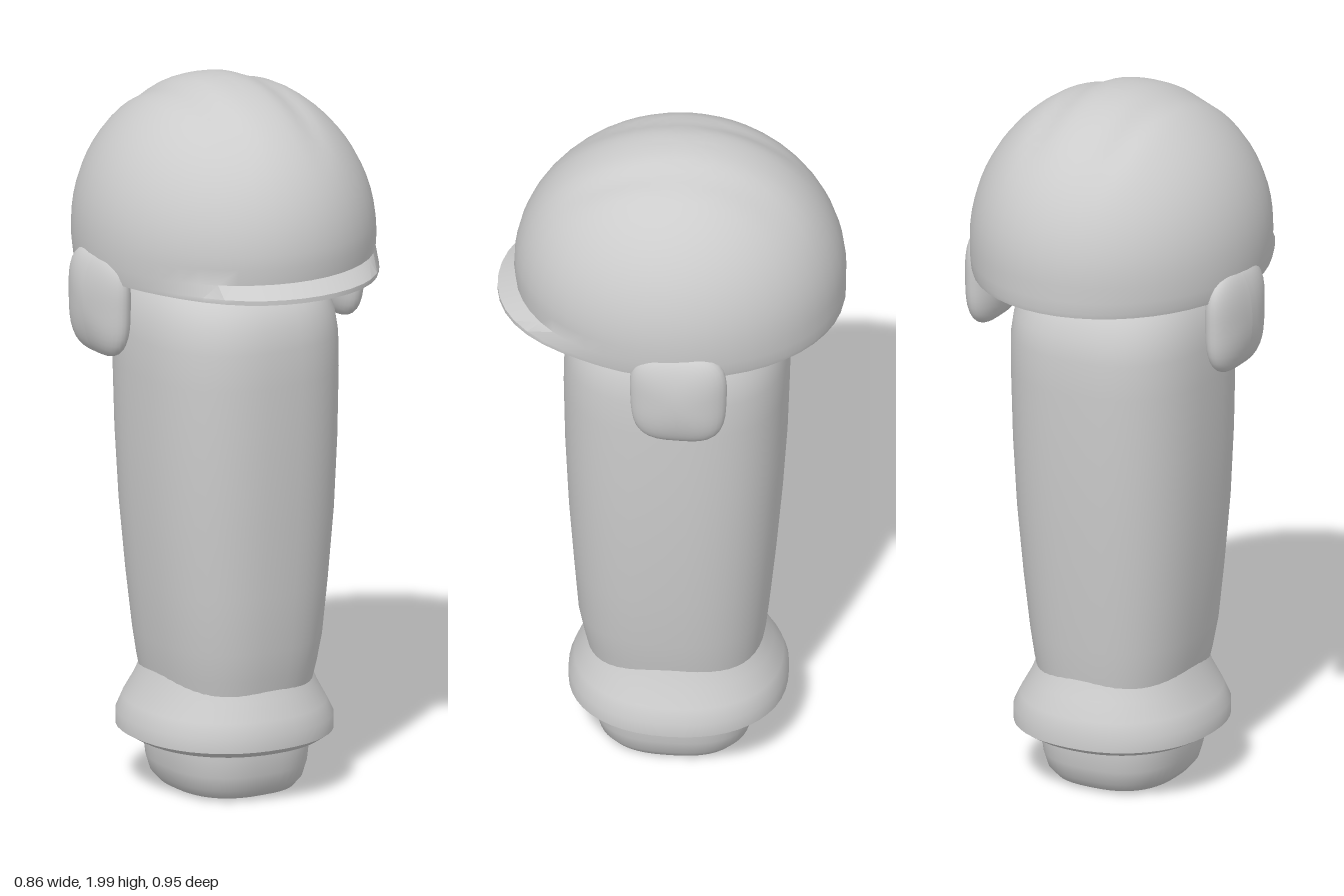
import * as THREE from 'three';
import { toCreasedNormals } from 'three/addons/utils/BufferGeometryUtils.js';

const grey = new THREE.MeshStandardMaterial({ color: 0xcccccc });
grey.name = 'plain grey';

const SIDES = 48;

// Surface through rings [y, halfWidth, frontZ, backZ], listed from the lower axis outwards and up.
// power > 2 squares the section off; warp may move each point.
function loft(name, rings, { power = 2, warp = null, crease = 0.8 } = {}) {
  const pos = [], index = [];
  const rounded = (c) => Math.sign(c) * Math.pow(Math.abs(c), 2 / power);
  rings.forEach(([y, rx, zf, zb], r) => {
    for (let i = 0; i < SIDES; i++) {
      const a = (i / SIDES) * Math.PI * 2;
      const p = new THREE.Vector3(
        rx * rounded(Math.cos(a)), y,
        (zf + zb) / 2 + ((zf - zb) / 2) * rounded(Math.sin(a)));
      if (warp) warp(p, a, r);
      pos.push(p.x, p.y, p.z);
      if (r < rings.length - 1) {
        const n = (i + 1) % SIDES, A = r * SIDES, B = A + SIDES;
        index.push(A + i, B + i, A + n, B + i, B + n, A + n);
      }
    }
  });
  const geo = new THREE.BufferGeometry();
  geo.setAttribute('position', new THREE.Float32BufferAttribute(pos, 3));
  geo.setIndex(index);
  const mesh = new THREE.Mesh(toCreasedNormals(geo, crease), grey);
  mesh.name = name;
  return mesh;
}

// Hollow cap: inner shell downwards, rim, front brim, then outer shell up to the crown
function makeCap() {
  const rings = [], steps = 18;
  const shell = (t, inset) => {
    const s = Math.max(Math.sin(t), 0.001), z = -0.04 + 0.017 * s;
    const rz = (0.453 - inset) * s;
    return [1.58 + (0.42 - inset) * Math.cos(t), (0.4 - inset) * s, z + rz, z - rz];
  };
  for (let i = 0; i <= steps; i++) rings.push(shell((i / steps) * Math.PI / 2, 0.03));
  rings.push([1.49, 0.362, 0.395, -0.44]);
  const rim = rings.length;
  rings.push([1.49, 0.392, 0.43, -0.472], [1.503, 0.395, 0.43, -0.475], [1.535, 0.399, 0.425, -0.475]);
  for (let i = steps; i >= 0; i--) rings.push(shell((i / steps) * Math.PI / 2, 0));

  return loft('cap', rings, {
    warp(p, a, r) {
      // Brim flares out at the front only
      if (r === rim || r === rim + 1) {
        const f = THREE.MathUtils.smoothstep(Math.sin(a), 0.4, 1);
        p.z += 0.045 * f;
        p.x *= 1 + 0.03 * f;
      }
      // Shallow grooves running front to back over the crown
      if (r > rim + 3) {
        const top = THREE.MathUtils.smoothstep(p.y, 1.78, 1.95);
        const groove = Math.exp(-(((Math.abs(p.x) - 0.12) / 0.035) ** 2));
        p.y -= 0.01 * top * groove;
      }
    },
  });
}

// Rounded, squarish ear pad
function makeEar(side) {
  const geo = new THREE.SphereGeometry(1, 32, 24);
  const p = geo.attributes.position;
  for (let i = 0; i < p.count; i++) {
    const x = p.getX(i), y = p.getY(i), z = p.getZ(i);
    const k = Math.pow(Math.abs(y) ** 3.4 + Math.abs(z) ** 3.4, 1 / 3.4);
    const s = k > 1e-6 ? Math.hypot(y, z) / k : 1;
    const Y = y * s, Z = z * s;
    p.setXYZ(i, 0.055 * x, 0.145 * Y, 0.132 * Z * (1 + 0.04 * Y));
  }
  geo.computeVertexNormals();
  const ear = new THREE.Mesh(geo, grey);
  ear.name = side > 0 ? 'leftEar' : 'rightEar';
  ear.position.set(side * 0.376, 1.415, -0.06);
  return ear;
}

export function createModel() {
  const model = new THREE.Group();
  model.name = 'cappedFigure';

  // Foot peg
  model.add(loft('foot', [
    [0.005, 0.001, -0.01, -0.012], [0.005, 0.13, 0.14, -0.165], [0.014, 0.165, 0.175, -0.195],
    [0.04, 0.187, 0.195, -0.218], [0.08, 0.198, 0.207, -0.23], [0.13, 0.204, 0.212, -0.236],
    [0.2, 0.204, 0.212, -0.236],
  ], { power: 2.6 }));

  // Flared hem
  model.add(loft('hem', [
    [0.145, 0.15, 0.15, -0.18], [0.145, 0.2, 0.21, -0.235], [0.152, 0.255, 0.255, -0.29],
    [0.17, 0.285, 0.28, -0.318], [0.21, 0.285, 0.28, -0.318], [0.25, 0.265, 0.265, -0.305],
    [0.3, 0.238, 0.24, -0.277], [0.34, 0.222, 0.222, -0.258], [0.38, 0.205, 0.205, -0.24],
  ], { power: 2.2 }));

  // Column body
  model.add(loft('body', [
    [0.28, 0.205, 0.22, -0.245], [0.36, 0.222, 0.238, -0.258], [0.44, 0.235, 0.253, -0.267],
    [0.6, 0.252, 0.265, -0.283], [0.8, 0.269, 0.279, -0.3], [1.0, 0.278, 0.288, -0.313],
    [1.2, 0.282, 0.292, -0.32], [1.3, 0.281, 0.29, -0.321], [1.36, 0.273, 0.28, -0.312],
    [1.41, 0.255, 0.258, -0.29], [1.445, 0.232, 0.226, -0.266], [1.46, 0.215, 0.2, -0.248],
    [1.465, 0.1, 0.09, -0.13],
  ], { power: 2.5 }));

  // Neck reaching up inside the cap
  model.add(loft('neck', [
    [1.4, 0.226, 0.205, -0.258], [1.55, 0.226, 0.205, -0.258],
    [1.7, 0.21, 0.19, -0.24], [1.76, 0.12, 0.09, -0.15], [1.77, 0.001, -0.026, -0.028],
  ], { power: 2.3 }));

  model.add(makeCap(), makeEar(1), makeEar(-1));
  return model;
}
